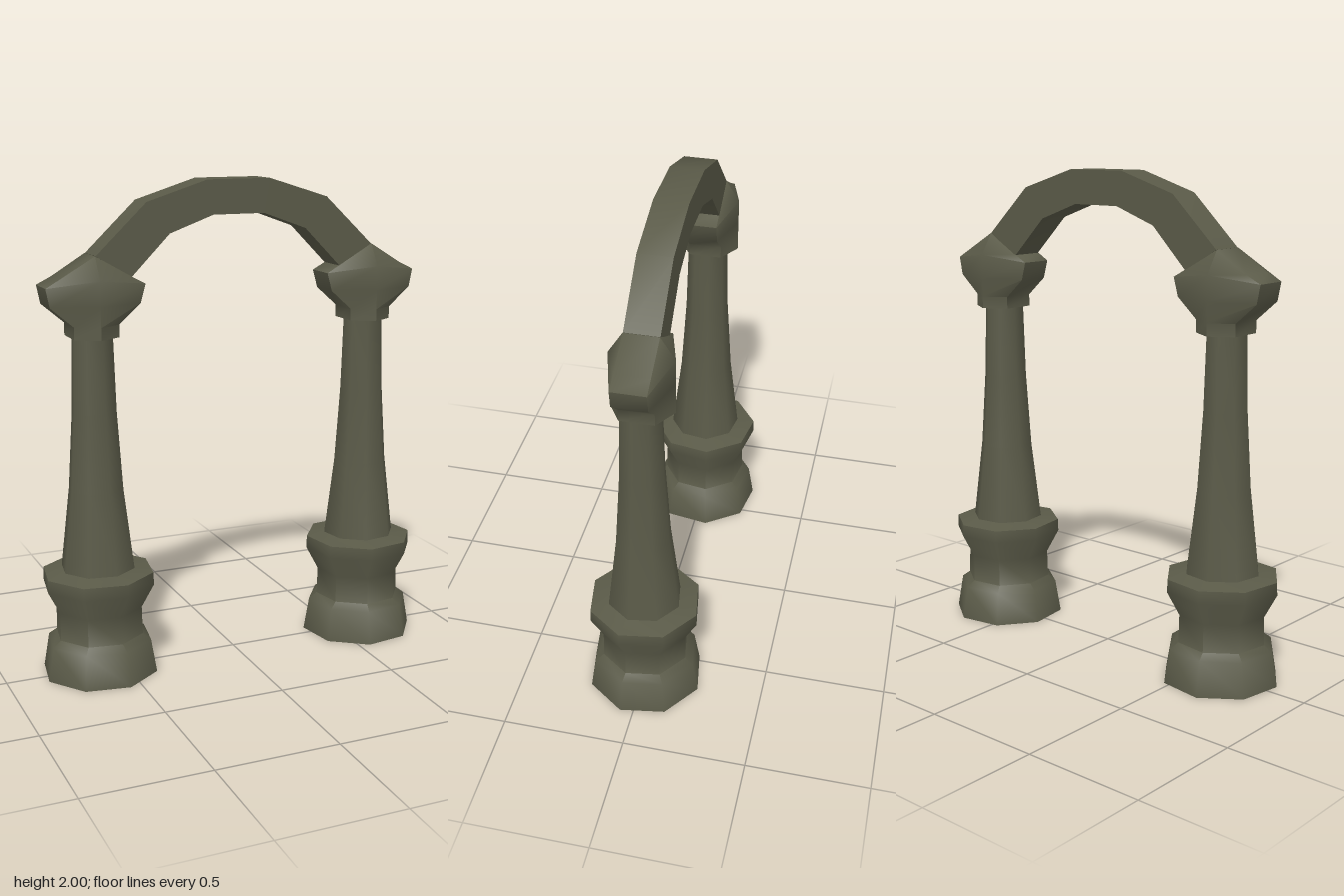
import * as THREE from 'three';
import { toCreasedNormals } from 'three/addons/utils/BufferGeometryUtils.js';

const stone = new THREE.MeshStandardMaterial({ color: 0x5a5a48, side: THREE.DoubleSide });
stone.name = 'mossy stone';

function part(name, geometry, crease = 1.0) {
  const mesh = new THREE.Mesh(toCreasedNormals(geometry, crease), stone);
  mesh.name = name;
  return mesh;
}

// Eight-sided turned part, open at both ends
function turned(profile, phase) {
  const points = profile.map(([r, y]) => new THREE.Vector2(r, y));
  return new THREE.LatheGeometry(points, 8, phase);
}

const PLINTH = [[0.241, 0], [0.217, 0.14], [0.183, 0.165], [0.18, 0.28],
  [0.233, 0.38], [0.231, 0.432], [0.153, 0.447]];
const SHAFT = [[0.153, 0.447], [0.113, 0.78], [0.092, 1.1], [0.083, 1.41]];

// Capital levels: [outer x, inner x, corner y, corner z, middle y, middle z]
const CAPITAL = [
  [0.092, 0.092, 1.4, 0.068, 1.4, 0.125],
  [0.092, 0.092, 1.45, 0.068, 1.45, 0.125],
  [0.185, 0.182, 1.53, 0.068, 1.53, 0.125],
  [0.2, 0.203, 1.605, 0.068, 1.63, 0.125],
  [0.137, 0.145, 1.636, 0.068, 1.72, 0.068],
];

// Six-cornered rings stacked and closed at both ends
function capitalGeometry() {
  const positions = [], index = [];
  CAPITAL.forEach(([o, i, y, z, my, mz], level) => {
    positions.push(o, y, z, o, y, -z, 0, my, -mz, -i, y, -z, -i, y, z, 0, my, mz);
    if (level === 0) return;
    for (let k = 0; k < 6; k++) {
      const a = (level - 1) * 6 + k, b = (level - 1) * 6 + (k + 1) % 6;
      index.push(a, b, b + 6, a, b + 6, a + 6);
    }
  });
  const t = (CAPITAL.length - 1) * 6;
  for (const [a, b, c, d] of [[0, 1, 2, 5], [5, 2, 3, 4]]) {
    index.push(t + a, t + b, t + c, t + a, t + c, t + d);
    index.push(a, c, b, a, d, c);
  }
  const geometry = new THREE.BufferGeometry();
  geometry.setAttribute('position', new THREE.Float32BufferAttribute(positions, 3));
  geometry.setIndex(index);
  return geometry;
}

// Faceted arch band spanning the two capitals
function archGeometry() {
  const outer = [[0.6, 1.72], [0.39, 1.92], [0.135, 2.0]];
  const inner = [[0.11, 1.862], [0.295, 1.795], [0.458, 1.63]];
  const mirror = (list) => list.map(([x, y]) => [-x, y]).reverse();
  const outline = [...outer, ...mirror(outer), ...mirror(inner), ...inner];
  const shape = new THREE.Shape(outline.map(([x, y]) => new THREE.Vector2(x, y)));
  const geometry = new THREE.ExtrudeGeometry(shape, { depth: 0.136, bevelEnabled: false });
  return geometry.translate(0, 0, -0.075);
}

export function createModel() {
  const model = new THREE.Group();
  model.name = 'archway';

  for (const side of [1, -1]) {
    const column = new THREE.Group();
    column.name = side > 0 ? 'leftColumn' : 'rightColumn';
    column.position.x = side * 0.602;
    column.rotation.y = side > 0 ? 0 : Math.PI;

    const phase = side * THREE.MathUtils.degToRad(31.8);
    const capital = part('capital', capitalGeometry());
    capital.position.z = -0.006 * side;
    column.add(
      part('plinth', turned(PLINTH, phase)),
      part('shaft', turned(SHAFT, phase)),
      capital,
    );
    model.add(column);
  }

  model.add(part('arch', archGeometry()));
  return model;
}
